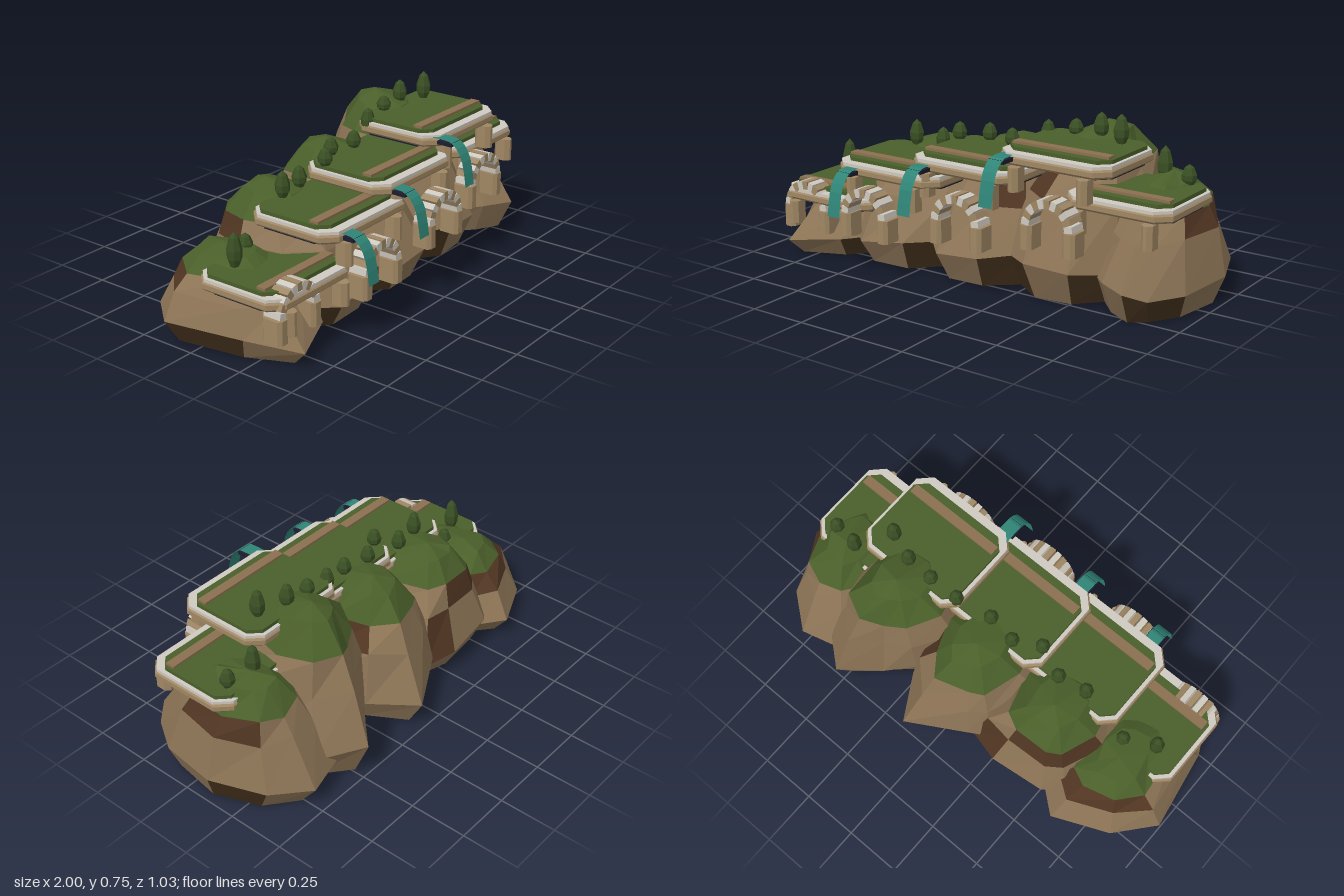
import * as THREE from 'three';

const mat = (name, color, extra = {}) => {
  const m = new THREE.MeshStandardMaterial({ color, ...extra });
  m.name = name;
  return m;
};
const M = {
  rock: mat('rock', 0x8b7355),
  darkRock: mat('dark rock', 0x503522),
  deepRock: mat('deep rock', 0x42301c),
  grass: mat('grass', 0x4a5f2a),
  tree: mat('cypress green', 0x3a5024),
  stone: mat('tan stone', 0xa08764),
  trim: mat('pale trim', 0xcfcac0),
  under: mat('dark underside', 0x1c1c2e),
  path: mat('path', 0x8b7050),
  water: mat('water', 0x2f8577, { side: THREE.DoubleSide, flatShading: true }),
};

function add(parent, name, geo, material, x = 0, y = 0, z = 0) {
  const mesh = new THREE.Mesh(geo, material);
  mesh.name = name;
  mesh.position.set(x, y, z);
  parent.add(mesh);
  return mesh;
}

// Upright prism with chamfered corners, standing on its local y = 0; bevel softens top and bottom edges
function chamferSlab(w, h, d, c, bevel = 0) {
  const a = w / 2 - bevel, b = d / 2 - bevel;
  const pts = [[a - c, -b], [a, -b + c], [a, b - c], [a - c, b], [-a + c, b], [-a, b - c], [-a, -b + c], [-a + c, -b]];
  const shape = new THREE.Shape(pts.map(p => new THREE.Vector2(...p)));
  return new THREE.ExtrudeGeometry(shape, {
    depth: h - 2 * bevel, bevelEnabled: bevel > 0, bevelSize: bevel, bevelThickness: bevel, bevelSegments: 1,
  }).translate(0, 0, bevel).rotateX(-Math.PI / 2);
}

// Faceted hill: its widest outline is scaled through several heights up to a peak,
// with sharp corners pulled in towards the top.
// dark lists, for each of the three rock tiers, which faces are dark.
function hill({ outline, h, dark }, seed) {
  const group = new THREE.Group();
  group.name = 'cliff' + (seed + 1);
  let s = seed * 97 + 13;
  const rnd = () => ((s = (s * 16807) % 2147483647) / 2147483647) - 0.5;
  for (let i = 0; i < 5; i++) rnd();
  const n = outline.length;
  const cx = outline.reduce((t, p) => t + p[0], 0) / n;
  const cz = outline.reduce((t, p) => t + p[1], 0) / n;
  const dist = ([x, z]) => Math.hypot(x - cx, z - cz);
  const mean = outline.reduce((t, p) => t + dist(p), 0) / n;
  const tiers = [[0, 0.83, 0], [0.23, 1, 0.09], [0.58, 0.79, 0.06], [0.77, 0.61, 0.06], [0.94, 0.34, 0.04]];
  const rings = tiers.map(([f, k, j]) => outline.map(([x, z]) => {
    const r = k * (f > 0.3 ? (1 + rnd() * 0.12) * (mean / dist([x, z])) ** (0.5 * f) : 1);
    return [cx + (x - cx) * r, f * h + rnd() * j * h, cz + (z - cz) * r - 0.07 * f * f];
  }));
  const peak = [cx, h, cz - 0.09];
  const pos = { rock: [], darkRock: [], deepRock: [], grass: [] };
  for (let i = 0; i < n; i++) {
    const k = (i + 1) % n;
    pos.rock.push(cx, 0, cz, ...rings[0][i], ...rings[0][k]);
    for (let t = 0; t < 4; t++) {
      const key = t === 3 ? 'grass' : !dark[t].includes(i) ? 'rock' : t === 0 ? 'deepRock' : 'darkRock';
      const [a, b, c, d] = [rings[t][i], rings[t][k], rings[t + 1][i], rings[t + 1][k]];
      pos[key].push(...a, ...c, ...b, ...b, ...c, ...d);
    }
    pos.grass.push(...rings[4][i], ...peak, ...rings[4][k]);
  }
  for (const key in pos) {
    if (!pos[key].length) continue;
    const geo = new THREE.BufferGeometry();
    geo.setAttribute('position', new THREE.Float32BufferAttribute(pos[key], 3));
    geo.computeVertexNormals();
    add(group, key + 'Faces', geo, M[key]);
  }
  return group;
}

// Terrace: dark underside, stone slab, pale rim, lawn, path and two supports
function terrace(x, top, front, w) {
  const g = new THREE.Group(), d = 0.43;
  g.name = 'terrace';
  g.position.set(x, top, front - d / 2);
  add(g, 'underside', chamferSlab(w - 0.05, 0.018, d - 0.08, 0.05), M.under, 0, -0.079, -0.01);
  add(g, 'slab', chamferSlab(w, 0.04, d, 0.05, 0.01), M.stone, 0, -0.066, 0);
  add(g, 'rim', chamferSlab(w - 0.012, 0.014, d - 0.012, 0.055), M.trim, 0, -0.03, 0);
  add(g, 'lawn', chamferSlab(w - 0.045, 0.018, d - 0.07, 0.045), M.grass, 0, -0.018, -0.013);
  add(g, 'path', new THREE.BoxGeometry(w - 0.07, 0.014, 0.042), M.path, 0, 0.004, d / 2 - 0.108);
  for (const side of [-1, 1]) {
    add(g, 'support', chamferSlab(0.05, 0.1, 0.08, 0.018), M.stone, side * 0.16, -0.17, d / 2 - 0.018);
  }
  return g;
}

// Arch: two piers and a half ring of alternating blocks
function arch(x, y, z) {
  const g = new THREE.Group();
  g.name = 'arch';
  g.position.set(x, y, z);
  for (const side of [-1, 1]) {
    add(g, 'pier', chamferSlab(0.058, 0.1, 0.095, 0.014), M.stone, side * 0.1, 0, 0);
  }
  const count = 11;
  for (let i = 0; i < count; i++) {
    const a = Math.PI * (i + 0.5) / count;
    const block = add(g, 'archBlock', new THREE.BoxGeometry(0.036, 0.026, 0.08), i % 2 ? M.stone : M.trim,
      Math.cos(a) * 0.1, 0.1 + Math.sin(a) * 0.1, 0);
    block.rotation.z = a;
  }
  return g;
}

// Waterfall: spout and a curved ribbon
function waterfall(x, y, z) {
  const g = new THREE.Group();
  g.name = 'waterfall';
  g.position.set(x, y, z);
  add(g, 'spout', new THREE.BoxGeometry(0.07, 0.016, 0.07), M.under, 0, -0.014, 0.03);
  const curve = new THREE.CatmullRomCurve3([[0, -0.04], [0, 0.05], [-0.025, 0.09], [-0.08, 0.12], [-0.185, 0.14]]
    .map(([py, pz]) => new THREE.Vector3(0, py, pz)));
  const geo = new THREE.PlaneGeometry(0.064, 1, 1, 8);
  const p = geo.attributes.position;
  for (let i = 0; i < p.count; i++) {
    const c = curve.getPoint(0.5 - p.getY(i));
    p.setXYZ(i, p.getX(i), c.y, c.z);
  }
  geo.computeVertexNormals();
  add(g, 'waterRibbon', geo, M.water);
  return g;
}

export function createModel() {
  const model = new THREE.Group();
  model.name = 'terracedCliff';

  const hills = [
    { h: 0.35, dark: [[1, 4, 6, 8], [], [5, 6, 7]], outline: [[-0.5, 0], [-0.52, 0.24], [-0.62, 0.35], [-0.84, 0.44], [-0.94, 0.22], [-1, -0.13], [-0.86, -0.29], [-0.62, -0.4], [-0.5, -0.3]] },
    { h: 0.51, dark: [[1, 3], [8], [5, 6, 7]], outline: [[-0.1, 0], [-0.14, 0.2], [-0.28, 0.34], [-0.5, 0.35], [-0.66, 0.2], [-0.7, -0.05], [-0.6, -0.28], [-0.52, -0.345], [-0.27, -0.37], [-0.12, -0.33]] },
    { h: 0.57, dark: [[1, 3], [], [1, 9]], outline: [[0.34, -0.05], [0.26, 0.2], [0.1, 0.33], [-0.1, 0.34], [-0.24, 0.2], [-0.28, -0.05], [-0.2, -0.3], [-0.12, -0.36], [0.13, -0.5], [0.25, -0.3]] },
    { h: 0.675, dark: [[1, 3], [], [3]], outline: [[0.7, -0.1], [0.66, 0.15], [0.52, 0.3], [0.32, 0.32], [0.15, 0.2], [0.1, -0.1], [0.24, -0.28], [0.35, -0.38], [0.5, -0.52], [0.67, -0.38]] },
    { h: 0.52, dark: [[1, 2, 9], [], [0, 9]], outline: [[1, -0.12], [0.96, 0.14], [0.87, 0.28], [0.79, 0.34], [0.66, 0.27], [0.5, 0.1], [0.5, -0.2], [0.57, -0.42], [0.76, -0.47], [0.91, -0.35]] },
  ];
  hills.forEach((spec, i) => model.add(hill(spec, i)));

  // x, lawn height, front edge z, width
  [[-0.69, 0.305, 0.38, 0.48], [-0.35, 0.47, 0.385, 0.54], [0.02, 0.54, 0.355, 0.52],
    [0.433, 0.622, 0.313, 0.52], [0.693, 0.475, 0.26, 0.48]].forEach(t => model.add(terrace(...t)));

  [[-0.79, 0.11, 0.335], [-0.385, 0.165, 0.425], [0.078, 0.215, 0.405], [0.477, 0.25, 0.345]]
    .forEach(a => model.add(arch(...a)));

  [[-0.508, 0.437, 0.37], [-0.146, 0.503, 0.352], [0.236, 0.597, 0.316]]
    .forEach(w => model.add(waterfall(...w)));

  // Cypress trees: x, z, base y, tip y
  const profile = [[0, 0], [0.6, 0.08], [0.95, 0.28], [1, 0.52], [0.6, 0.85], [0, 1]].map(p => new THREE.Vector2(...p));
  const treeGeo = new THREE.LatheGeometry(profile, 7).toNonIndexed();
  treeGeo.computeVertexNormals();
  [[-0.8, 0.06, 0.3, 0.455], [-0.67, 0, 0.3, 0.39], [-0.45, 0.01, 0.465, 0.585], [-0.32, -0.01, 0.465, 0.565],
    [-0.2, 0.03, 0.53, 0.615], [-0.085, -0.03, 0.53, 0.615], [0.045, -0.01, 0.53, 0.615], [0.2, -0.05, 0.56, 0.665],
    [0.33, -0.06, 0.61, 0.685], [0.45, -0.06, 0.62, 0.728], [0.57, -0.015, 0.615, 0.745],
    [0.715, -0.12, 0.47, 0.615], [0.835, -0.1, 0.47, 0.56]].forEach(([x, z, y, tip]) => {
    add(model, 'cypress', treeGeo, M.tree, x, y, z).scale.set(0.032, tip - y, 0.032);
  });

  return model;
}
